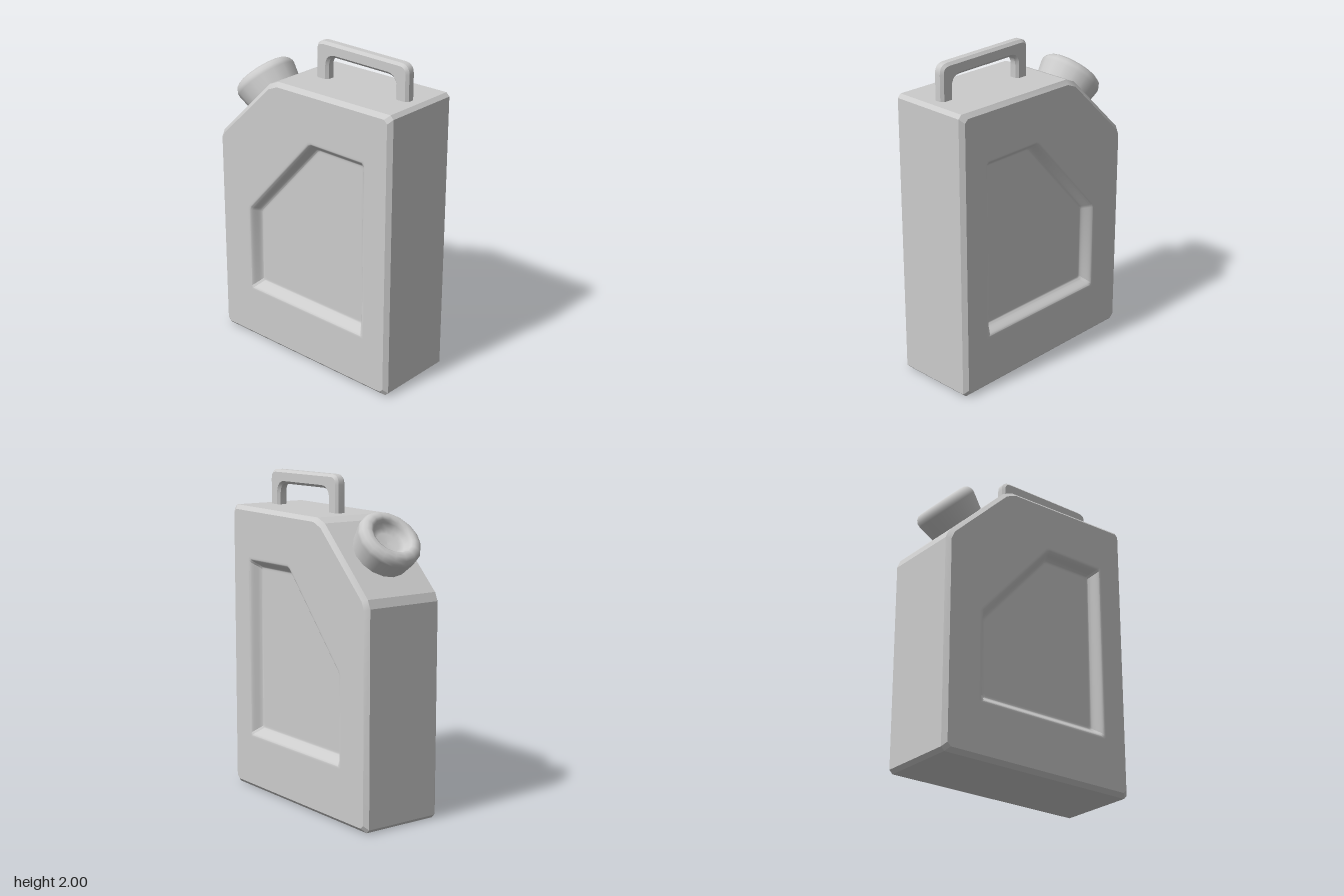
import * as THREE from 'three';
import { toCreasedNormals } from 'three/addons/utils/BufferGeometryUtils.js';

const material = new THREE.MeshStandardMaterial({ color: 0xcccccc });

// Side outlines as [-z, y], counter-clockwise seen from +x
const BODY = [[-0.68, 0], [0.68, 0], [0.68, 1.33], [0.23, 1.77], [-0.68, 1.785]];
const BODY_CUTS = [0.022, 0.022, 0.03, 0.04, 0.022];
const PANEL = [[-0.495, 0.34], [0.435, 0.34], [0.435, 0.9], [-0.07, 1.465], [-0.495, 1.465]];
const PANEL_CUTS = [0.012, 0.012, 0.012, 0.012, 0.012];

// Inset a convex outline, then cut each corner into two points
function outline(poly, inset, cuts) {
  const n = poly.length;
  const pts = poly.map(p => new THREE.Vector2(...p));
  const dirs = pts.map((p, i) => pts[(i + 1) % n].clone().sub(p).normalize());
  const corners = pts.map((p, i) => {
    const a = dirs[(i + n - 1) % n], b = dirs[i];
    const na = new THREE.Vector2(-a.y, a.x), nb = new THREE.Vector2(-b.y, b.x);
    return p.clone().addScaledVector(na.clone().add(nb), inset / (1 + na.dot(nb)));
  });
  return corners.flatMap((c, i) => [
    c.clone().addScaledVector(dirs[(i + n - 1) % n], -cuts[i]),
    c.clone().addScaledVector(dirs[i], cuts[i]),
  ]);
}

// Skin a stack of equal-length rings running from +x to -x, closed at both ends
function skin(rings) {
  const n = rings[0].pts.length, pos = [], index = [];
  for (const { pts, x } of rings) for (const p of pts) pos.push(x, p.y, -p.x);
  for (let k = 0; k < rings.length - 1; k++) {
    for (let i = 0; i < n; i++) {
      const j = (i + 1) % n, a = k * n + i, b = k * n + j;
      index.push(a, a + n, b + n, a, b + n, b);
    }
  }
  const last = (rings.length - 1) * n;
  for (let i = 1; i < n - 1; i++) {
    index.push(0, i, i + 1);
    index.push(last, last + i + 1, last + i);
  }
  const geo = new THREE.BufferGeometry();
  geo.setAttribute('position', new THREE.Float32BufferAttribute(pos, 3));
  geo.setIndex(index);
  return toCreasedNormals(geo, 0.36);
}

// Bevelled can body with a softly sunken panel on both sides
function bodyGeometry() {
  const half = 0.27, bevel = 0.025, depth = 0.06, width = 0.06, steps = 12;
  const panel = (inset, x) => ({ pts: outline(PANEL, inset, PANEL_CUTS), x });
  const side = [panel(width + 0.01, half - depth)];
  for (let i = steps; i >= 0; i--) {
    const t = i / steps;
    side.push(panel(width * t, half - depth * t * t * (3 - 2 * t)));
  }
  side.push(panel(-0.01, half));
  side.push({ pts: outline(BODY, bevel, BODY_CUTS), x: half });
  side.push({ pts: outline(BODY, 0, BODY_CUTS), x: half - bevel });
  const mirrored = side.map(r => ({ pts: r.pts, x: -r.x })).reverse();
  return skin([...side, ...mirrored]);
}

// Arched carrying handle with chamfered edges
function handleGeometry() {
  const s = new THREE.Shape();
  s.moveTo(-0.6, 1.74);
  s.lineTo(-0.6, 1.94);
  s.quadraticCurveTo(-0.6, 2, -0.54, 2);
  s.lineTo(0.03, 2);
  s.quadraticCurveTo(0.09, 2, 0.09, 1.94);
  s.lineTo(0.09, 1.74);
  s.lineTo(0, 1.74);
  s.lineTo(0, 1.85);
  s.quadraticCurveTo(0, 1.915, -0.06, 1.915);
  s.lineTo(-0.45, 1.915);
  s.quadraticCurveTo(-0.51, 1.915, -0.51, 1.85);
  s.lineTo(-0.51, 1.74);
  s.closePath();
  const b = 0.016;
  const geo = new THREE.ExtrudeGeometry(s, {
    depth: 0.07 - 2 * b, curveSegments: 5,
    bevelThickness: b, bevelSize: b, bevelOffset: -b, bevelSegments: 1,
  });
  geo.translate(0, 0, -0.035 + b);
  geo.rotateY(Math.PI / 2);
  return toCreasedNormals(geo, 0.6);
}

// Flared cap with a rounded rim and a dished top
function capGeometry() {
  const profile = [
    [0.172, -0.03], [0.176, 0], [0.196, 0.105], [0.196, 0.125], [0.185, 0.148], [0.165, 0.162],
    [0.14, 0.165], [0.122, 0.155], [0.114, 0.135], [0.1, 0.105], [0.07, 0.092], [0, 0.088],
  ];
  return new THREE.LatheGeometry(profile.map(p => new THREE.Vector2(...p)), 16);
}

export function createModel() {
  const group = new THREE.Group();
  const add = (name, geo) => {
    const mesh = new THREE.Mesh(geo, material);
    mesh.name = name;
    group.add(mesh);
    return mesh;
  };
  add('canBody', bodyGeometry());
  add('handle', handleGeometry());

  // Cap stands square to the sloped shoulder
  const cap = add('spoutCap', capGeometry());
  cap.position.set(-0.017, 1.57, -0.44);
  cap.rotation.x = -0.775;
  return group;
}
